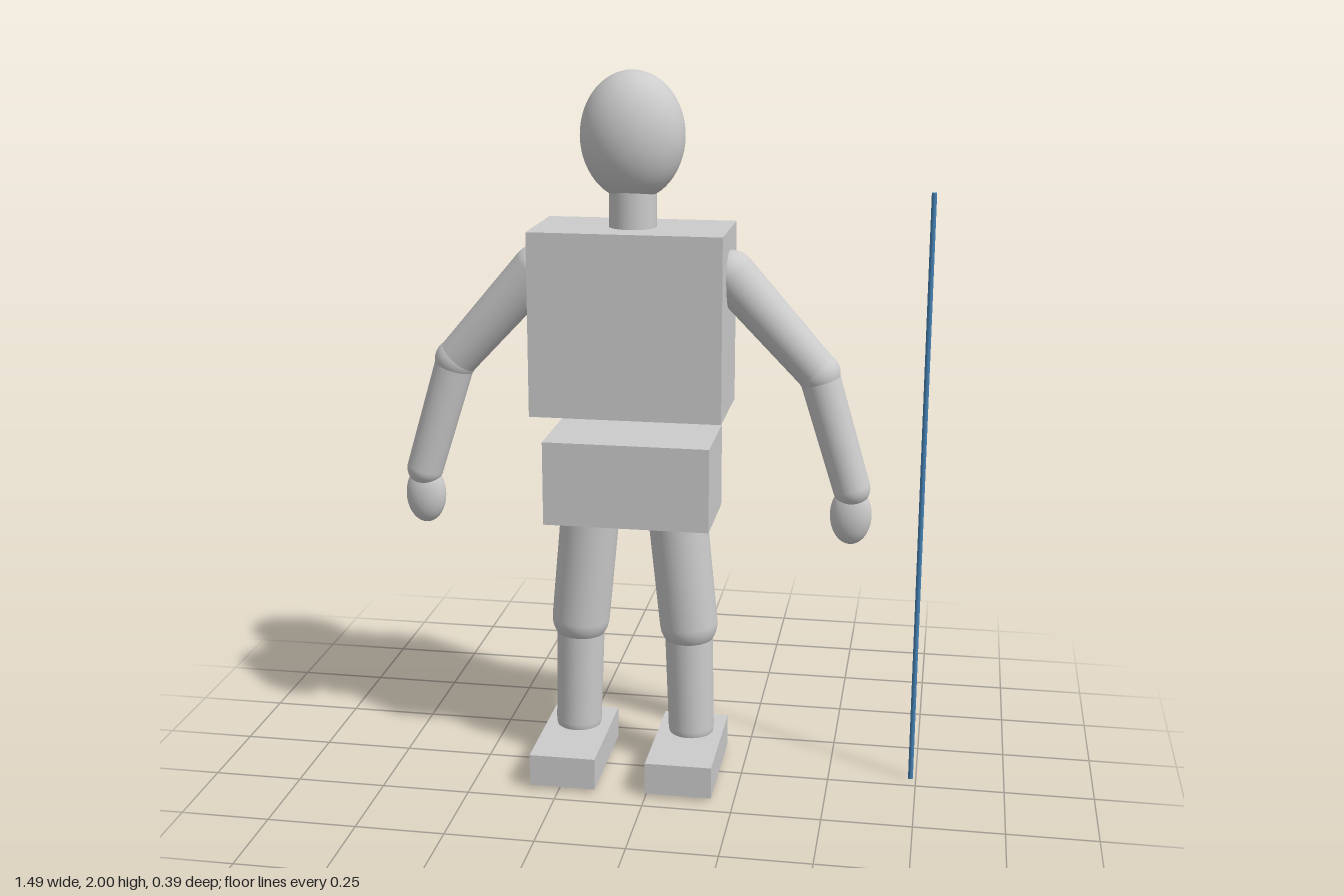
import * as THREE from 'three';

const CX = -0.073; // body's plane of symmetry
const CZ = -0.048;
const grey = new THREE.MeshStandardMaterial({ color: 0xcccccc });
const blue = new THREE.MeshStandardMaterial({ color: 0x4682b4 });

function add(parent, name, geometry, x, y, z, material = grey) {
  const mesh = new THREE.Mesh(geometry, material);
  mesh.name = name;
  mesh.position.set(x, y, z);
  parent.add(mesh);
  return mesh;
}

const box = (w, h, d) => new THREE.BoxGeometry(w, h, d);
const ball = (rx, ry = rx, rz = rx) => new THREE.SphereGeometry(1, 40, 28).scale(rx, ry, rz);

// Tapered cylinder running from point a to point b
function limb(parent, name, a, b, ra, rb) {
  const dir = b.clone().sub(a);
  const mid = a.clone().lerp(b, 0.5);
  const mesh = add(parent, name, new THREE.CylinderGeometry(rb, ra, dir.length(), 40), mid.x, mid.y, mid.z);
  mesh.quaternion.setFromUnitVectors(new THREE.Vector3(0, 1, 0), dir.normalize());
}

function joint(parent, name, p, r) {
  add(parent, name, ball(r), p.x, p.y, p.z);
}

function buildArm(side, at) {
  const arm = new THREE.Group();
  arm.name = side + 'Arm';
  const shoulder = at(0.198, 1.455, -0.047);
  const elbow = at(0.441, 1.185, -0.064);
  const wrist = at(0.54, 0.863, -0.058);
  joint(arm, 'shoulder', shoulder, 0.068);
  limb(arm, 'upperArm', shoulder, elbow, 0.068, 0.058);
  joint(arm, 'elbow', elbow, 0.06);
  limb(arm, 'forearm', elbow, wrist, 0.056, 0.052);
  joint(arm, 'wrist', wrist, 0.052);
  const hand = at(0.54, 0.785, -0.058);
  add(arm, 'hand', ball(0.058, 0.085, 0.043), hand.x, hand.y, hand.z);
  return arm;
}

function buildLeg(side, at) {
  const leg = new THREE.Group();
  leg.name = side + 'Leg';
  const hip = at(0.047, 0.82, -0.046);
  const knee = at(0.085, 0.437, -0.055);
  const ankle = at(0.094, 0.12, -0.055);
  limb(leg, 'thigh', hip, knee, 0.084, 0.083);
  joint(leg, 'knee', knee, 0.083);
  limb(leg, 'shin', knee, ankle, 0.069, 0.066);
  joint(leg, 'ankle', ankle, 0.066);
  const foot = at(0.093, 0.056, 0.012);
  add(leg, 'foot', box(0.188, 0.092, 0.364), foot.x, foot.y, foot.z);
  return leg;
}

export function createModel() {
  const model = new THREE.Group();
  model.name = 'jointedFigure';

  // Head and trunk
  add(model, 'head', ball(0.143, 0.174, 0.121), CX, 1.826, CZ);
  add(model, 'neck', new THREE.CylinderGeometry(0.065, 0.065, 0.16, 40), CX, 1.64, CZ);
  add(model, 'chest', box(0.532, 0.51, 0.291), CX, 1.325, CZ);
  add(model, 'pelvis', box(0.466, 0.239, 0.267), CX, 0.877, CZ + 0.004);

  // Limbs, mirrored about the body's centre
  for (const [side, s] of [['left', 1], ['right', -1]]) {
    const at = (x, y, z) => new THREE.Vector3(CX + s * (x - CX), y, z);
    model.add(buildArm(side, at), buildLeg(side, at));
  }

  // Freestanding pole beside the figure
  add(model, 'pole', new THREE.CylinderGeometry(0.007, 0.007, 1.69, 16), 0.735, 0.845, CZ, blue);
  return model;
}
